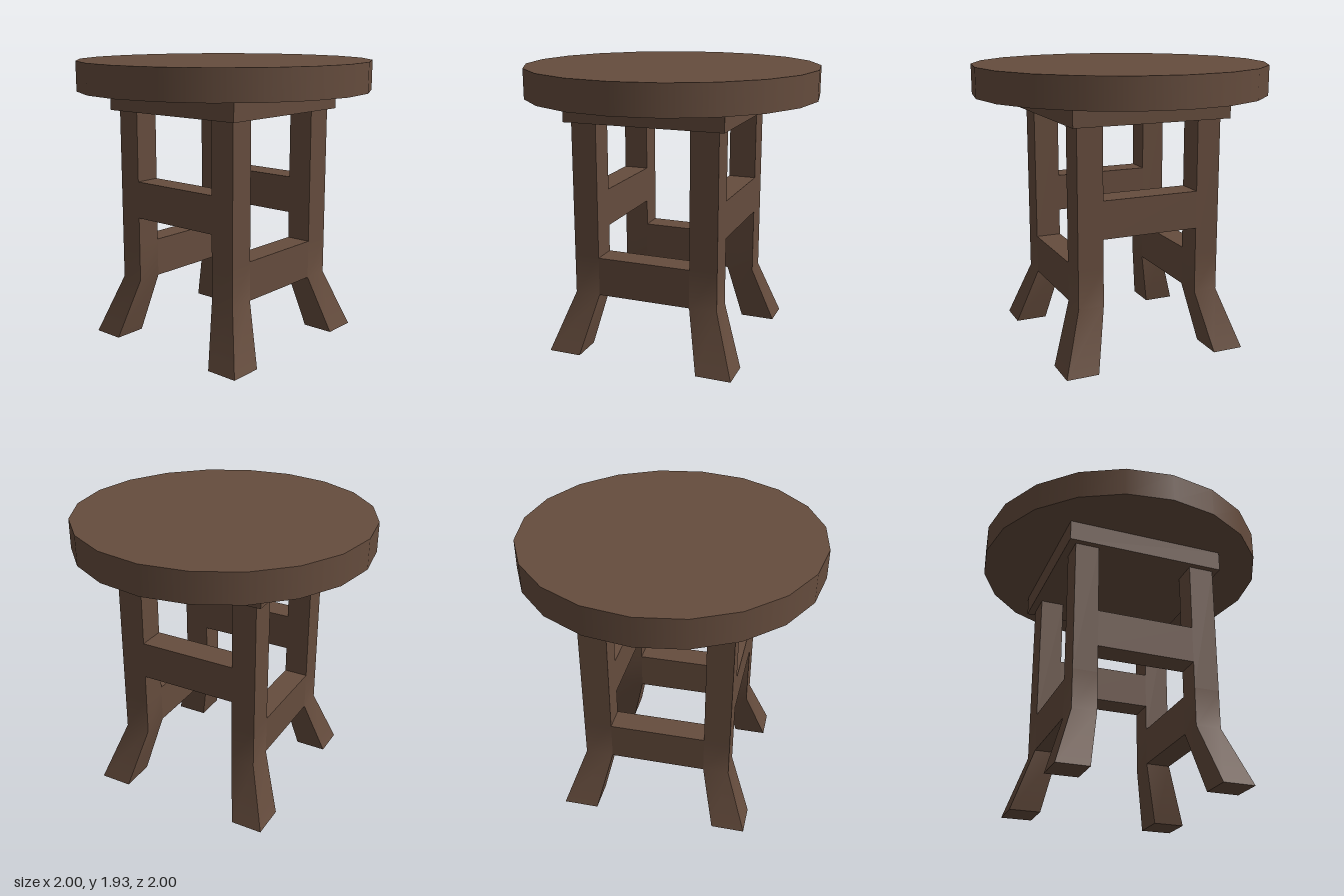
import * as THREE from 'three';

const wood = new THREE.MeshStandardMaterial({ color: 0x654c3d });

function add(parent, name, geometry, x = 0, y = 0, z = 0) {
  const mesh = new THREE.Mesh(geometry, wood);
  mesh.name = name;
  mesh.position.set(x, y, z);
  parent.add(mesh);
  return mesh;
}

// Box given by its [min, max] range on each axis
function addBlock(parent, name, [x0, x1], [y0, y1], [z0, z1]) {
  const geometry = new THREE.BoxGeometry(x1 - x0, y1 - y0, z1 - z0);
  return add(parent, name, geometry, (x0 + x1) / 2, (y0 + y1) / 2, (z0 + z1) / 2);
}

// Leg ranges on each side: straight upper part, and splayed foot
const legX = {
  '1': { post: [0.315, 0.505], foot: [0.41, 0.65] },
  '-1': { post: [-0.51, -0.335], foot: [-0.655, -0.43] },
};
const legZ = {
  '1': { post: [0.335, 0.51], foot: [0.43, 0.65] },
  '-1': { post: [-0.5, -0.335], foot: [-0.635, -0.42] },
};
const legHeights = [0, 0.405, 0.67, 1.59];

// Square post whose lowest ring is pushed out to the foot
function legGeometry(xSide, zSide) {
  const geometry = new THREE.BoxGeometry(1, 1, 1, 1, 3, 1);
  const p = geometry.attributes.position;
  for (let i = 0; i < p.count; i++) {
    const ring = Math.round((p.getY(i) + 0.5) * 3);
    const key = ring === 0 ? 'foot' : 'post';
    const x = xSide[key][p.getX(i) > 0 ? 1 : 0];
    const z = zSide[key][p.getZ(i) > 0 ? 1 : 0];
    p.setXYZ(i, x, legHeights[ring], z);
  }
  geometry.computeVertexNormals();
  return geometry;
}

export function createModel() {
  const stool = new THREE.Group();
  stool.name = 'stool';

  // Round seat and the square block under it
  add(stool, 'seat', new THREE.CylinderGeometry(1, 1, 0.2, 20), 0, 1.83, 0);
  addBlock(stool, 'apron', [-0.55, 0.55], [1.59, 1.73], [-0.55, 0.55]);

  // Four splayed legs
  for (const sx of [1, -1]) {
    for (const sz of [1, -1]) {
      const name = (sz > 0 ? 'front' : 'back') + (sx > 0 ? 'Left' : 'Right') + 'Leg';
      add(stool, name, legGeometry(legX[sx], legZ[sz]));
    }
  }

  // Low rails at front and back, higher rails at the sides, flush with the legs
  for (const s of [1, -1]) {
    addBlock(stool, s > 0 ? 'frontRail' : 'backRail', [-0.335, 0.315], [0.405, 0.67], legZ[s].post);
    addBlock(stool, s > 0 ? 'leftRail' : 'rightRail', legX[s].post, [0.855, 1.11], [-0.335, 0.335]);
  }
  return stool;
}
